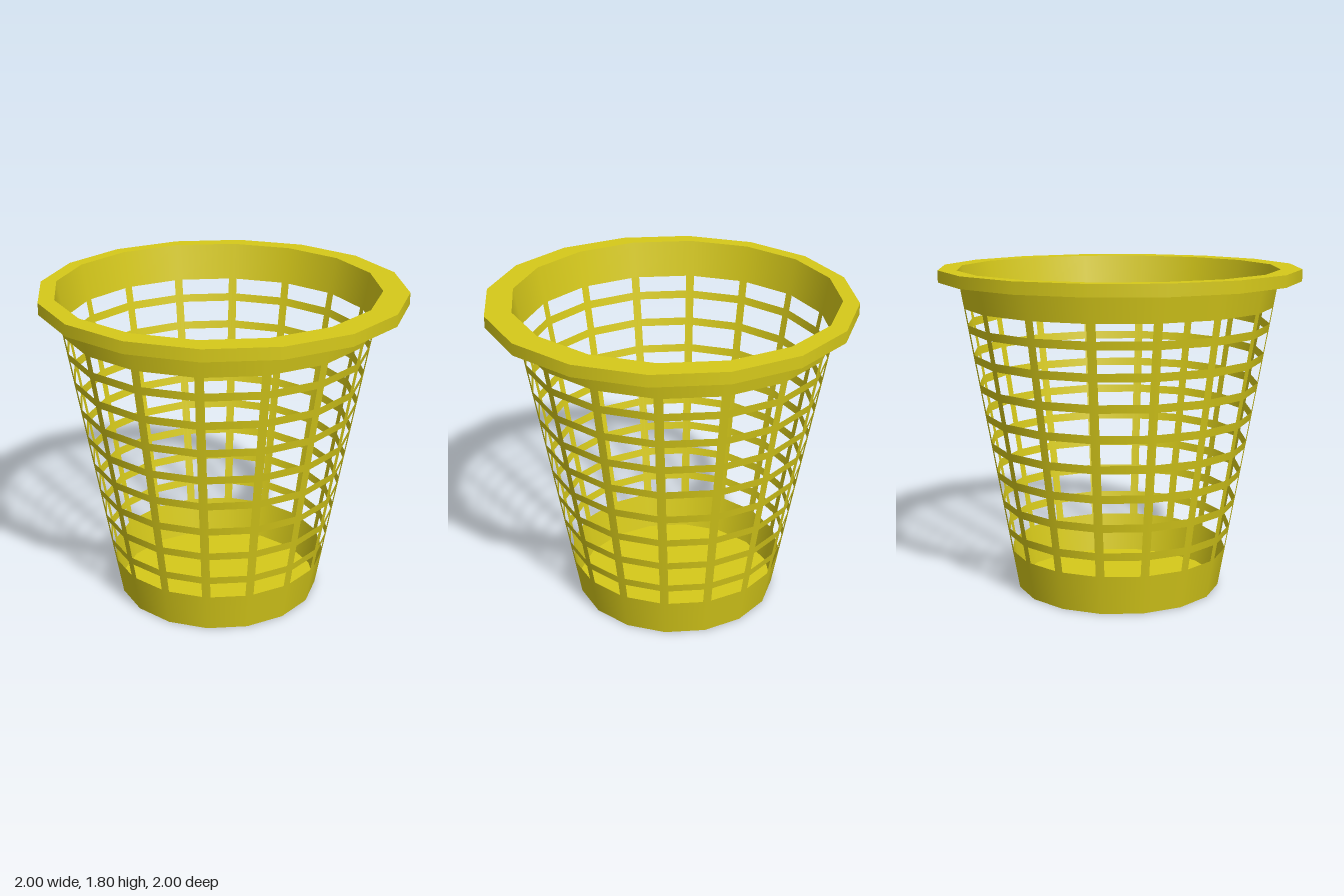
import * as THREE from 'three';

const SIDES = 16, HEIGHT = 1.8, R_BOTTOM = 0.575, R_TOP = 0.887;
const RIM_R = 1, RIM_DROP = 0.065, RIB_HALF = 0.024;
const LOW = 0.22, HIGH = 1.594, HOOP_START = 0.314, HOOP_PITCH = 0.1638, HOOP_H = 0.045;
const CX = -0.03, CZ = -0.015; // the basket sits slightly off the rim's centre

const radius = y => R_BOTTOM + (R_TOP - R_BOTTOM) * y / HEIGHT;
const slope = (R_TOP - R_BOTTOM) / HEIGHT;

// Point on side k of the tapered wall; inset is the distance from its start
// corner (or from its end corner when fromEnd is set).
function wallPoint(k, y, inset, fromEnd) {
  const corner = i => new THREE.Vector3(
    radius(y) * Math.cos(i * 2 * Math.PI / SIDES), y, radius(y) * Math.sin(i * 2 * Math.PI / SIDES));
  const a = corner(k), b = corner(k + 1);
  const t = inset / a.distanceTo(b);
  return a.lerp(b, fromEnd ? 1 - t : t);
}

// Wall pieces: each is { y0, y1, from: [inset, fromEnd], to: [inset, fromEnd] }, repeated on all sides
function wallGeometry(pieces) {
  const pos = [], nor = [], idx = [];
  for (let k = 0; k < SIDES; k++) {
    for (const { y0, y1, from, to } of pieces) {
      const n = pos.length / 3;
      const quad = [wallPoint(k, y0, ...from), wallPoint(k, y1, ...from),
        wallPoint(k, y1, ...to), wallPoint(k, y0, ...to)];
      for (const p of quad) {
        pos.push(p.x, p.y, p.z);
        const l = Math.hypot(p.x, p.z);
        nor.push(...new THREE.Vector3(p.x / l, -slope, p.z / l).normalize().toArray());
      }
      idx.push(n, n + 1, n + 2, n, n + 2, n + 3);
    }
  }
  const g = new THREE.BufferGeometry();
  g.setAttribute('position', new THREE.Float32BufferAttribute(pos, 3));
  g.setAttribute('normal', new THREE.Float32BufferAttribute(nor, 3));
  g.setIndex(idx);
  return g;
}

function polygonPoints(r, x = 0, y = 0) {
  return Array.from({ length: SIDES }, (_, i) => {
    const a = i * 2 * Math.PI / SIDES;
    return new THREE.Vector2(x + r * Math.cos(a), y + r * Math.sin(a));
  });
}

export function createModel() {
  const model = new THREE.Group();
  model.name = 'wasteBasket';
  const material = new THREE.MeshStandardMaterial({ color: 0xd6c91a, side: THREE.DoubleSide });

  const add = (parent, name, geometry) => {
    const mesh = new THREE.Mesh(geometry, material);
    mesh.name = name;
    parent.add(mesh);
    return mesh;
  };

  const basket = new THREE.Group();
  basket.name = 'basket';
  basket.position.set(CX, 0, CZ);
  model.add(basket);

  // Solid bands below and above the lattice
  const start = [0, false], end = [0, true];
  add(basket, 'lowerBand', wallGeometry([{ y0: 0, y1: LOW, from: start, to: end }]));
  add(basket, 'upperBand', wallGeometry([{ y0: HIGH, y1: HEIGHT, from: start, to: end }]));

  // Ribs folded around every corner of the wall
  const ribStart = [RIB_HALF, false], ribEnd = [RIB_HALF, true];
  add(basket, 'ribs', wallGeometry([
    { y0: LOW, y1: HIGH, from: start, to: ribStart },
    { y0: LOW, y1: HIGH, from: ribEnd, to: end },
  ]));

  // Eight horizontal hoops between the ribs
  const hoops = [];
  for (let i = 0; i < 8; i++) {
    const y0 = HOOP_START + i * HOOP_PITCH;
    hoops.push({ y0, y1: y0 + HOOP_H, from: ribStart, to: ribEnd });
  }
  add(basket, 'hoops', wallGeometry(hoops));

  // Floor
  add(basket, 'floor', new THREE.CircleGeometry(R_BOTTOM, SIDES).rotateX(-Math.PI / 2));

  // Rim: flat lip with an open-bottomed skirt hanging from its outer edge
  const lip = new THREE.Shape(polygonPoints(RIM_R));
  lip.holes.push(new THREE.Path(polygonPoints(R_TOP, CX, -CZ)));
  add(model, 'rimLip', new THREE.ShapeGeometry(lip).rotateX(-Math.PI / 2)).position.y = HEIGHT;
  add(model, 'rimSkirt', new THREE.CylinderGeometry(RIM_R, RIM_R, RIM_DROP, SIDES, 1, true))
    .position.y = HEIGHT - RIM_DROP / 2;

  return model;
}
